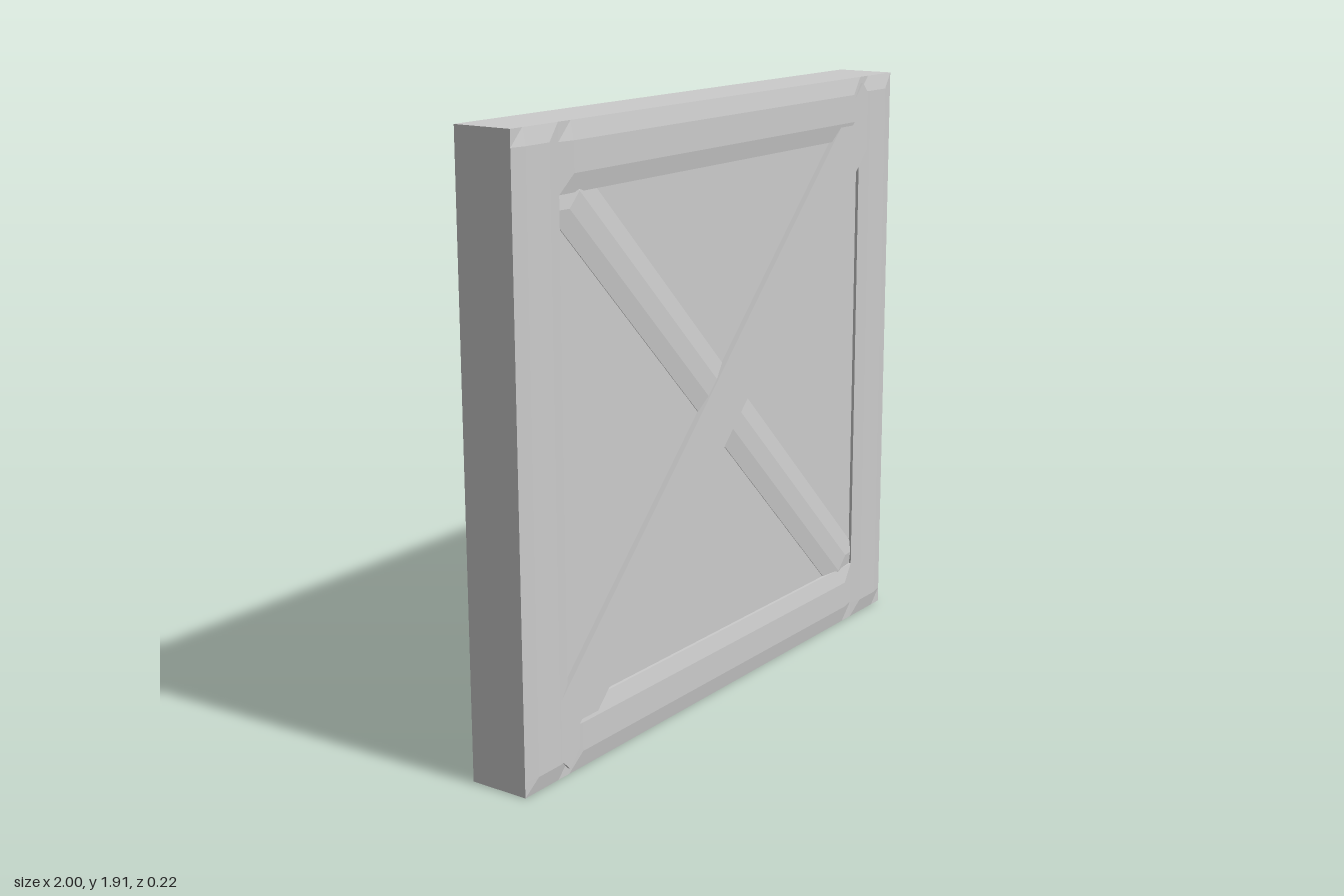
import * as THREE from 'three';

const material = new THREE.MeshStandardMaterial({ color: 0xcccccc });
const HEIGHT = 1.91, MID = HEIGHT / 2, FRAME = 0.2;

// Plank whose front and back slope gently down to thinner edges.
function plank(name, width, height, depth, edgeDepth, bevel) {
  const box = new THREE.BoxGeometry(width, height, depth, 3, 3, 1);
  const p = box.attributes.position;
  const slide = (v, half) => (Math.abs(v) > half - 1e-4 ? v : Math.sign(v) * (half - bevel));
  for (let i = 0; i < p.count; i++) {
    const x = p.getX(i), y = p.getY(i), z = p.getZ(i);
    const rim = Math.abs(x) > width / 2 - 1e-4 || Math.abs(y) > height / 2 - 1e-4;
    p.setXYZ(i, slide(x, width / 2), slide(y, height / 2), rim ? Math.sign(z) * edgeDepth / 2 : z);
  }
  const geometry = box.toNonIndexed();
  geometry.computeVertexNormals();
  const mesh = new THREE.Mesh(geometry, material);
  mesh.name = name;
  return mesh;
}

export function createModel() {
  const model = new THREE.Group();
  model.name = 'bracedPanel';

  // Recessed backing panel
  const panel = new THREE.Mesh(new THREE.BoxGeometry(1.7, HEIGHT - 0.3, 0.176), material);
  panel.name = 'panel';
  panel.position.y = MID;
  model.add(panel);

  // Frame: two full-height posts with rails between them
  for (const s of [1, -1]) {
    const post = plank(s > 0 ? 'leftPost' : 'rightPost', FRAME, HEIGHT, 0.216, 0.196, 0.05);
    post.position.set(s * (1 - FRAME / 2), MID, 0);
    const rail = plank(s > 0 ? 'topRail' : 'bottomRail', 2 - 2 * FRAME, FRAME, 0.216, 0.196, 0.055);
    rail.position.y = MID + s * (MID - FRAME / 2);
    model.add(post, rail);
  }

  // Lower brace, bevelled, passing under the upper one
  const lowerBrace = plank('lowerBrace', 2.2, 0.184, 0.06, 0.04, 0.06);
  lowerBrace.position.set(0, MID, 0.07);
  lowerBrace.rotation.z = -Math.PI / 4;
  model.add(lowerBrace);

  // Upper brace, flat and square-edged, lapping onto the frame
  const upperBrace = new THREE.Mesh(new THREE.BoxGeometry(2.46, 0.184, 0.05), material);
  upperBrace.name = 'upperBrace';
  upperBrace.position.set(0, MID, 0.081);
  upperBrace.rotation.z = Math.PI / 4;
  model.add(upperBrace);

  return model;
}
